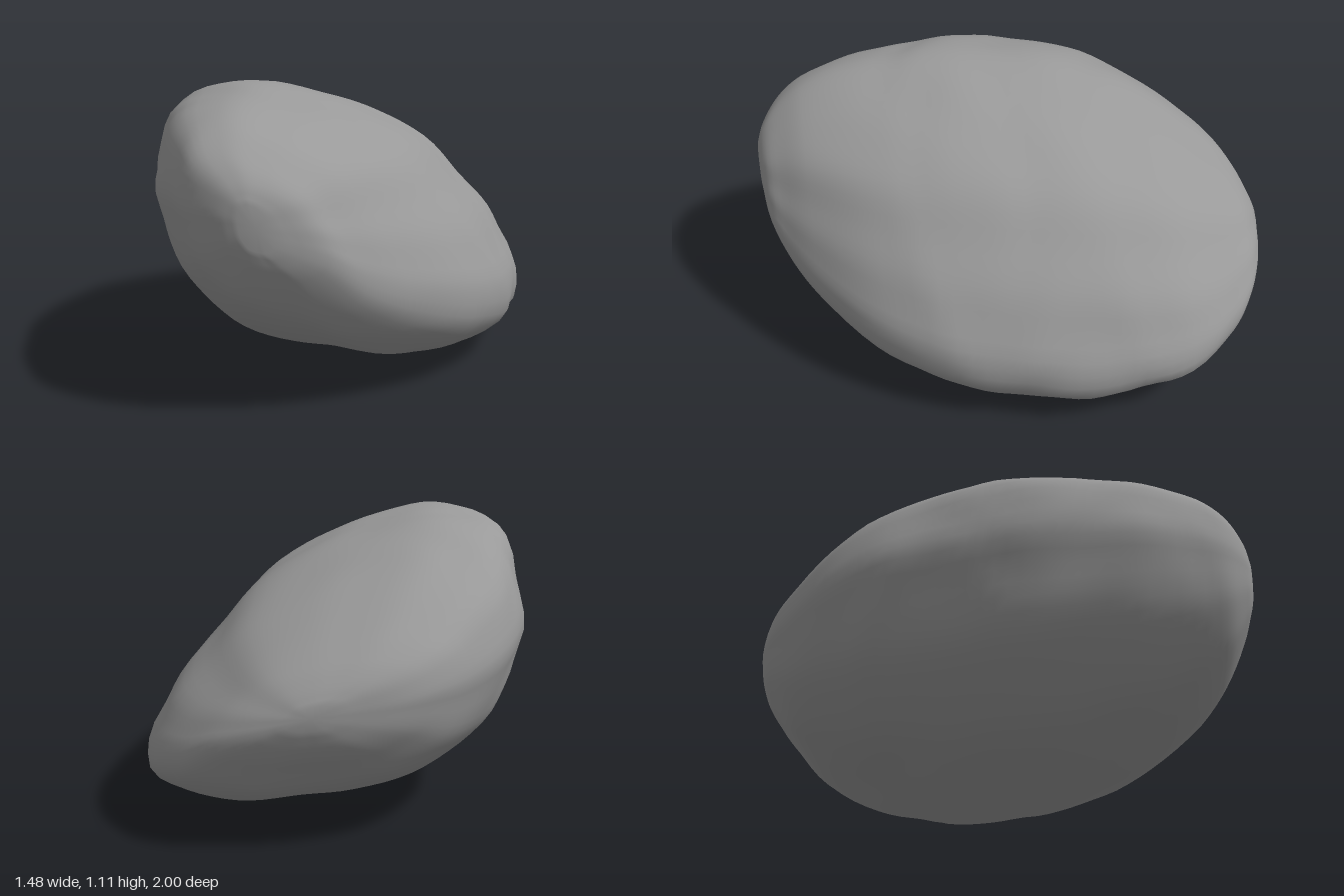
import * as THREE from 'three';

// Cross-section outline of the stone (x, y), clockwise from the front
const OUTLINE = [
  [0.74, 0.22], [0.72, 0.14], [0.6, 0.06], [0.42, 0.01], [0.3, 0], [0.08, 0.03], [-0.08, 0.05],
  [-0.3, 0.11], [-0.42, 0.18], [-0.62, 0.37], [-0.68, 0.5], [-0.71, 0.62], [-0.74, 0.74],
  [-0.71, 0.9], [-0.67, 1.0], [-0.6, 1.06], [-0.5, 1.09], [-0.34, 1.11], [-0.11, 1.06],
  [0.07, 1.0], [0.33, 0.86], [0.48, 0.69], [0.61, 0.54], [0.68, 0.41], [0.73, 0.31],
];

// Stations front to back: z, left x, right x, bottom y, top y
const STATIONS = [
  [1.0, -0.36, -0.24, 0.62, 0.78], [0.97, -0.44, -0.07, 0.52, 0.85], [0.9, -0.54, 0.06, 0.38, 0.93],
  [0.8, -0.6, 0.2, 0.27, 1.0], [0.6, -0.68, 0.42, 0.15, 1.06], [0.4, -0.715, 0.56, 0.08, 1.09],
  [0.2, -0.74, 0.64, 0.03, 1.11], [0, -0.73, 0.69, 0.015, 1.095], [-0.2, -0.7, 0.73, 0.005, 1.07],
  [-0.4, -0.67, 0.735, 0.045, 1.01], [-0.6, -0.58, 0.71, 0.09, 0.92], [-0.8, -0.42, 0.58, 0.19, 0.79],
  [-0.9, -0.3, 0.47, 0.3, 0.71], [-0.96, -0.17, 0.35, 0.38, 0.64], [-1.0, 0.04, 0.2, 0.47, 0.56],
];

const RINGS = 56;
const SIDES = 72;

// Gentle weathering, as a small change of radius
function weathering(x, y, z) {
  return 0.005 * Math.sin(9 * x + 6 * z + 2 * Math.sin(7 * y))
    + 0.004 * Math.sin(14 * z - 11 * y + 3 * Math.sin(5 * x))
    + 0.003 * Math.sin(23 * y + 17 * x + 4 * Math.sin(8 * z));
}

function stoneGeometry() {
  const loop = new THREE.CatmullRomCurve3(
    OUTLINE.map(([x, y]) => new THREE.Vector3(x, y, 0)), true);
  // Section in a unit box
  const section = loop.getSpacedPoints(SIDES).slice(0, SIDES)
    .map((p) => [(p.x + 0.74) / 1.48, p.y / 1.11]);
  const widths = new THREE.CatmullRomCurve3(
    STATIONS.map(([z, l, r]) => new THREE.Vector3(l, r, z)));
  const heights = new THREE.CatmullRomCurve3(
    STATIONS.map(([z, , , b, t]) => new THREE.Vector3(b, t, z)));

  const positions = [];
  const index = [];
  const centres = [];
  for (let i = 0; i <= RINGS; i++) {
    const w = widths.getPoint(i / RINGS);
    const h = heights.getPoint(i / RINGS);
    const cx = (w.x + w.y) / 2;
    const cy = (h.x + h.y) / 2;
    centres.push([cx, cy, w.z]);
    for (const [u, v] of section) {
      const x = w.x + (w.y - w.x) * u;
      const y = h.x + (h.y - h.x) * v;
      const k = 1 + weathering(x, y, w.z);
      positions.push(cx + (x - cx) * k, Math.max(0, cy + (y - cy) * k), w.z);
    }
  }
  for (let i = 0; i < RINGS; i++) {
    for (let j = 0; j < SIDES; j++) {
      const a = i * SIDES + j;
      const b = i * SIDES + (j + 1) % SIDES;
      index.push(a, b, a + SIDES, b, b + SIDES, a + SIDES);
    }
  }
  // Close both tips
  const front = (RINGS + 1) * SIDES;
  positions.push(...centres[0], ...centres[RINGS]);
  for (let j = 0; j < SIDES; j++) {
    const n = (j + 1) % SIDES;
    index.push(front, n, j, front + 1, RINGS * SIDES + j, RINGS * SIDES + n);
  }

  const geometry = new THREE.BufferGeometry();
  geometry.setAttribute('position', new THREE.Float32BufferAttribute(positions, 3));
  geometry.setIndex(index);
  geometry.computeVertexNormals();
  return geometry;
}

export function createModel() {
  const grey = new THREE.MeshStandardMaterial({ color: 0x999999 });
  grey.name = 'stone grey';
  const stone = new THREE.Mesh(stoneGeometry(), grey);
  stone.name = 'stone';
  const model = new THREE.Group();
  model.name = 'boulder';
  model.add(stone);
  return model;
}
